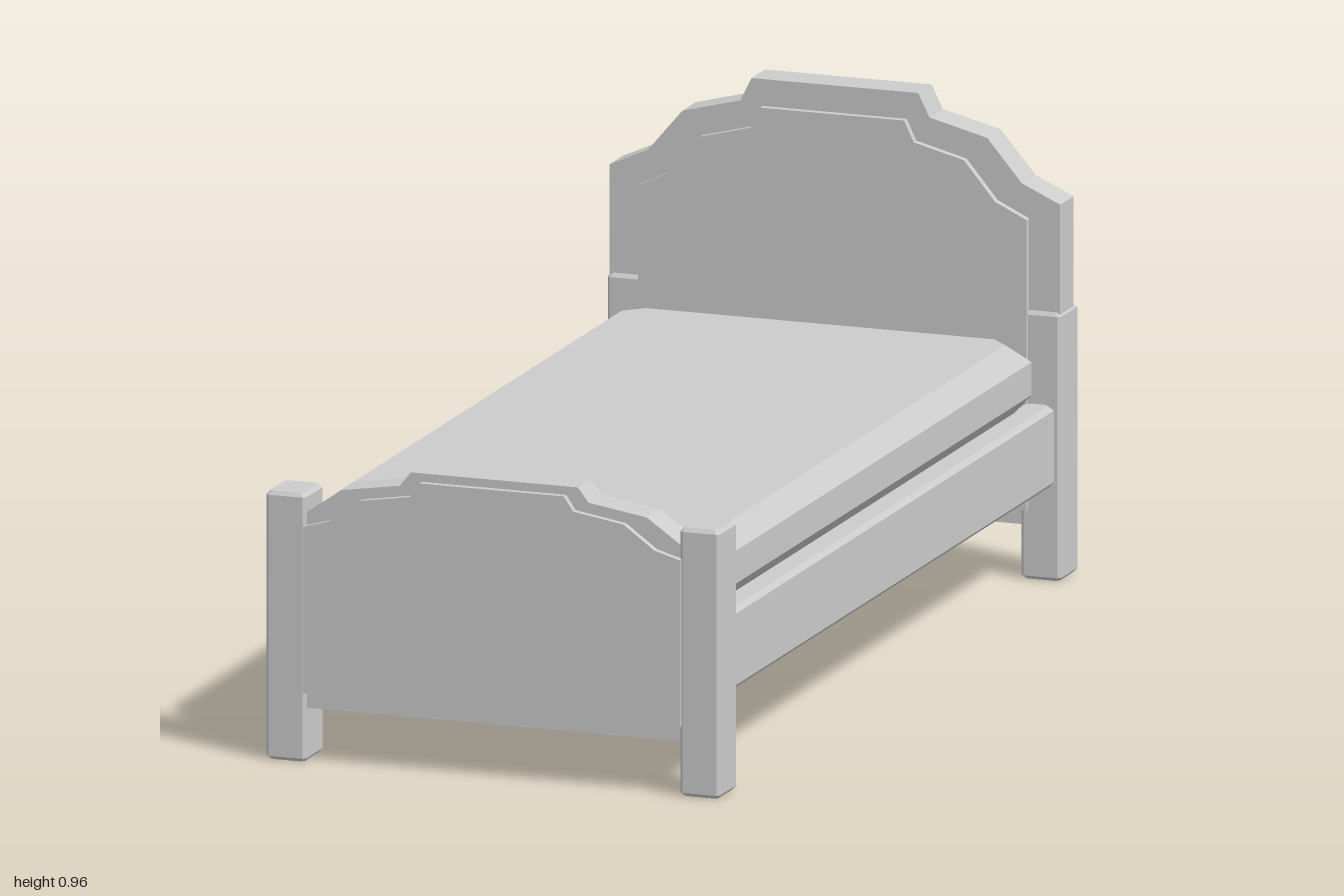
import * as THREE from 'three';

const grey = new THREE.MeshStandardMaterial({ color: 0xcccccc });
grey.name = 'plain grey';

// Octagonal ring: a rectangle with its corners cut by c
function ring(hx, hz, c) {
  return [[hx, hz - c], [hx - c, hz], [c - hx, hz], [-hx, hz - c],
    [-hx, c - hz], [c - hx, -hz], [hx - c, -hz], [hx, c - hz]];
}

// Block with cut corners, lofted through layers of [y, inset]
function chamferedBlock(hx, hz, corner, layers) {
  const positions = [];
  const rings = layers.map(([y, inset]) =>
    ring(hx - inset, hz - inset, corner).map(([x, z]) => [x, y, z]));
  const tri = (a, b, c) => positions.push(...a, ...b, ...c);
  for (let j = 0; j < rings.length - 1; j++) {
    for (let i = 0; i < 8; i++) {
      const k = (i + 1) % 8, lo = rings[j], hi = rings[j + 1];
      tri(lo[i], hi[i], hi[k]);
      tri(lo[i], hi[k], lo[k]);
    }
  }
  const bottom = rings[0], top = rings[rings.length - 1];
  for (let i = 1; i < 7; i++) {
    tri(top[0], top[i + 1], top[i]);
    tri(bottom[0], bottom[i], bottom[i + 1]);
  }
  const geometry = new THREE.BufferGeometry();
  geometry.setAttribute('position', new THREE.Float32BufferAttribute(positions, 3));
  geometry.computeVertexNormals();
  return geometry;
}

// Symmetric board: right half of the top edge, mirrored, above a flat bottom
function board(topEdge, bottomY, backZ, frontZ) {
  const outer = topEdge[0][0];
  const mirrored = topEdge.map(([x, y]) => [-x, y]).reverse();
  const outline = [[-outer, bottomY], [outer, bottomY], ...topEdge, ...mirrored];
  const shape = new THREE.Shape(outline.map(([x, y]) => new THREE.Vector2(x, y)));
  const geometry = new THREE.ExtrudeGeometry(shape, { depth: frontZ - backZ, bevelEnabled: false });
  return geometry.translate(0, 0, backZ);
}

export function createModel() {
  const bed = new THREE.Group();
  bed.name = 'bed';
  const add = (name, geometry, x = 0, y = 0, z = 0) => {
    const mesh = new THREE.Mesh(geometry, grey);
    mesh.name = name;
    mesh.position.set(x, y, z);
    bed.add(mesh);
  };

  // Corner posts and side rails
  const post = chamferedBlock(0.0415, 0.05, 0.006, [[0, 0.006], [0.007, 0], [0.532, 0], [0.54, 0.006]]);
  const rail = chamferedBlock(0.033, 0.893, 0.01, [[0.195, 0.008], [0.204, 0], [0.348, 0], [0.358, 0.009]]);
  for (const [side, s] of [['left', 1], ['right', -1]]) {
    add(side + 'FrontPost', post, s * 0.4315, 0, 0.946);
    add(side + 'BackPost', post, s * 0.4315, 0, -0.95);
    add(side + 'SideRail', rail, s * 0.433);
  }

  // Headboard with raised inner panel
  add('headboard', board(
    [[0.47, 0.757], [0.39, 0.793], [0.318, 0.878], [0.197, 0.909], [0.174, 0.956]],
    0.108, -0.982, -0.907));
  add('headboardPanel', board(
    [[0.405, 0.724], [0.34, 0.755], [0.275, 0.833], [0.17, 0.86], [0.15, 0.902]],
    0.14, -0.91, -0.892));

  // Footboard with raised front panel
  add('footboard', board(
    [[0.393, 0.5], [0.318, 0.552], [0.197, 0.571], [0.174, 0.6]],
    0.108, 0.912, 0.986));
  add('footboardPanel', board(
    [[0.393, 0.475], [0.34, 0.49], [0.275, 0.537], [0.17, 0.554], [0.15, 0.583]],
    0.14, 0.98, 1.0));

  // Base under the mattress
  add('bedBase', new THREE.BoxGeometry(0.82, 0.07, 1.83), 0, 0.305, 0);

  // Mattress with bevelled edges
  add('mattress', chamferedBlock(0.44, 0.865, 0.037,
    [[0.34, 0.04], [0.39, 0], [0.456, 0], [0.496, 0.04]]));

  return bed;
}
